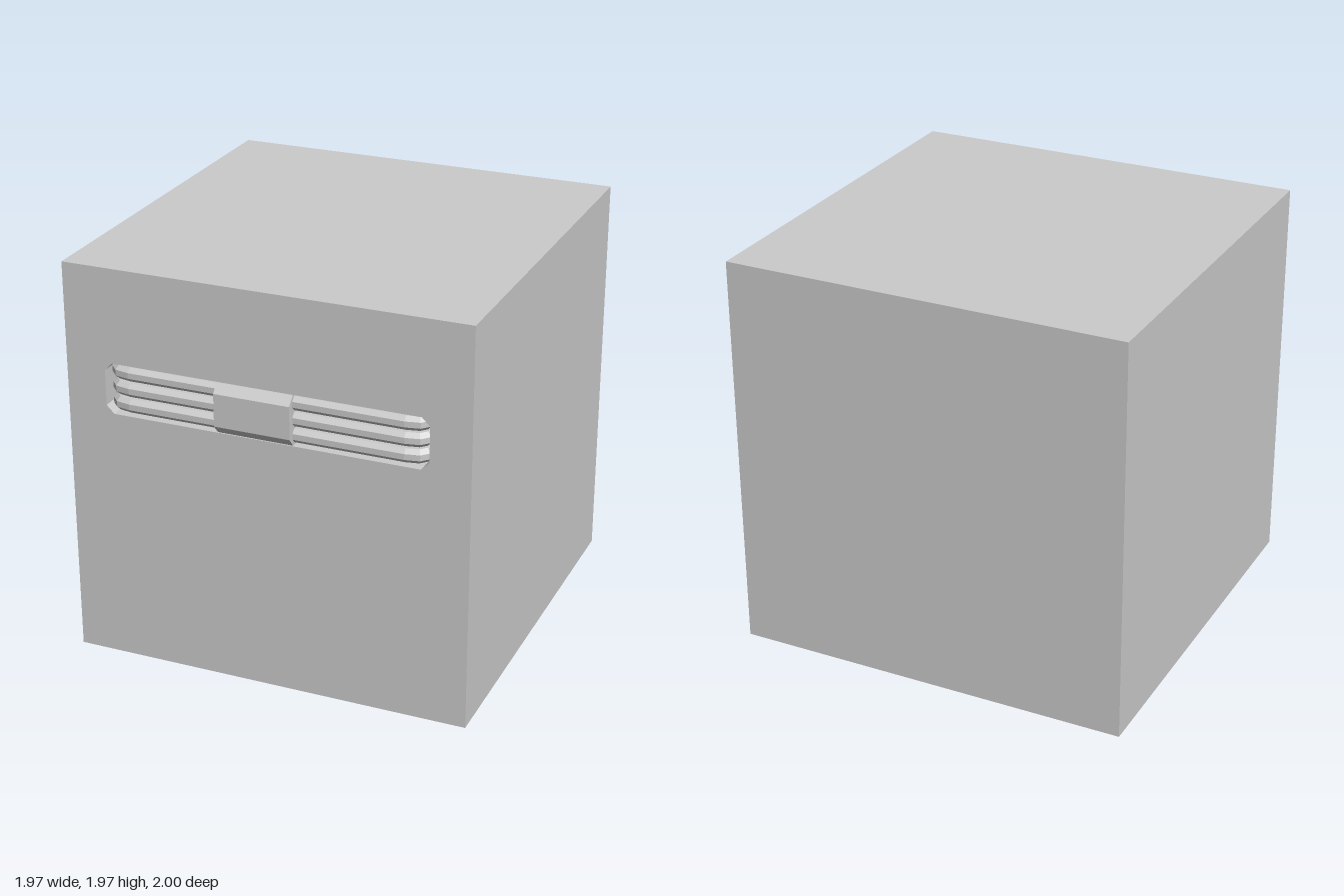
import * as THREE from 'three';

const W = 0.985, H = 1.97, BACK = -1, FRONT = 0.965;
const SLOT = { x: 0.79, y: 0.125, cut: 0.038, depth: 0.095, cy: 1.385 };

function createMesh(name, geometry, material) {
  const mesh = new THREE.Mesh(geometry, material);
  mesh.name = name;
  return mesh;
}

// Corners of the slot opening, counter-clockwise
function slotCorners() {
  const { x, y, cut, cy } = SLOT;
  return [
    [x - cut, -y], [x, cut - y], [x, y - cut], [x - cut, y],
    [cut - x, y], [-x, y - cut], [-x, cut - y], [cut - x, -y],
  ].map(([px, py]) => new THREE.Vector2(px, py + cy));
}

// Skin between closed rings with equal point counts, with optional end caps
function loft(rings, capStart, capEnd) {
  const n = rings[0].length, index = [];
  for (let r = 0; r < rings.length - 1; r++) {
    for (let i = 0; i < n; i++) {
      const a = r * n + i, b = r * n + (i + 1) % n;
      index.push(a, b, a + n, b, b + n, a + n);
    }
  }
  const last = (rings.length - 1) * n;
  for (let i = 1; i < n - 1; i++) {
    if (capStart) index.push(0, i + 1, i);
    if (capEnd) index.push(last, last + i, last + i + 1);
  }
  const geometry = new THREE.BufferGeometry();
  geometry.setFromPoints(rings.flat());
  geometry.setIndex(index);
  const flat = geometry.toNonIndexed();
  flat.computeVertexNormals();
  return flat;
}

// Octagonal bar whose two ends turn back through the slot
function barGeometry(radius) {
  const half = [[0.745, 0.855], [0.745, 0.9], [0.725, 0.922], [0.67, 0.933]];
  const path = [...half.map(([x, z]) => [-x, z]), ...half.slice().reverse()]
    .map(([x, z]) => new THREE.Vector2(x, z));
  const outer = radius / Math.cos(Math.PI / 8);
  const rings = path.map((p, i) => {
    const before = p.clone().sub(path[Math.max(i - 1, 0)]).normalize();
    const after = path[Math.min(i + 1, path.length - 1)].clone().sub(p).normalize();
    const dir = before.clone().add(after).normalize();
    const miter = 1 / Math.max(dir.dot(after), dir.dot(before));
    return Array.from({ length: 8 }, (_, k) => {
      const a = (k + 0.5) * Math.PI / 4;
      const out = Math.cos(a) * outer * miter;
      return new THREE.Vector3(p.x - dir.y * out, -Math.sin(a) * outer, p.y + dir.x * out);
    });
  });
  return loft(rings, true, true);
}

export function createModel() {
  const group = new THREE.Group();
  const material = new THREE.MeshStandardMaterial({
    color: 0xcccccc, flatShading: true, side: THREE.DoubleSide,
  });
  const depth = FRONT - BACK, midZ = (FRONT + BACK) / 2;

  // Front wall with the slot cut out
  const face = new THREE.Shape([
    new THREE.Vector2(-W, 0), new THREE.Vector2(W, 0),
    new THREE.Vector2(W, H), new THREE.Vector2(-W, H),
  ]);
  face.holes.push(new THREE.Path(slotCorners().reverse()));
  const frontWall = createMesh('frontWall', new THREE.ShapeGeometry(face), material);
  frontWall.position.z = FRONT;
  group.add(frontWall);

  // Back, sides and top of the shell; the bottom is open
  const backWall = createMesh('backWall', new THREE.PlaneGeometry(2 * W, H), material);
  backWall.rotation.y = Math.PI;
  backWall.position.set(0, H / 2, BACK);
  group.add(backWall);
  for (const side of [-1, 1]) {
    const wall = createMesh(side > 0 ? 'leftWall' : 'rightWall', new THREE.PlaneGeometry(depth, H), material);
    wall.rotation.y = side * Math.PI / 2;
    wall.position.set(side * W, H / 2, midZ);
    group.add(wall);
  }
  const top = createMesh('topPanel', new THREE.PlaneGeometry(2 * W, depth), material);
  top.rotation.x = -Math.PI / 2;
  top.position.set(0, H, midZ);
  group.add(top);

  // Recessed pocket behind the slot
  const ringAt = (z) => slotCorners().reverse().map((p) => new THREE.Vector3(p.x, p.y, z));
  group.add(createMesh('slotPocket', loft([ringAt(FRONT - SLOT.depth), ringAt(FRONT)], true, false), material));

  // Three horizontal bars
  const bars = new THREE.Group();
  bars.name = 'grilleBars';
  const barShape = barGeometry(0.034);
  for (let i = -1; i <= 1; i++) {
    const bar = createMesh('grilleBar', barShape, material);
    bar.position.y = SLOT.cy + 0.078 * i;
    bars.add(bar);
  }
  group.add(bars);

  // Chamfered block over the bars: side profile extruded along x
  const profile = new THREE.Shape([
    [0.872, 1.262], [0.962, 1.262], [1, 1.305], [1, 1.465], [0.962, 1.505], [0.872, 1.505],
  ].map(([z, y]) => new THREE.Vector2(-z, y)));
  const blockShape = new THREE.ExtrudeGeometry(profile, { depth: 0.37, bevelEnabled: false });
  blockShape.rotateY(Math.PI / 2);
  const block = createMesh('centreBlock', blockShape, material);
  block.position.x = -0.227;
  group.add(block);

  return group;
}
